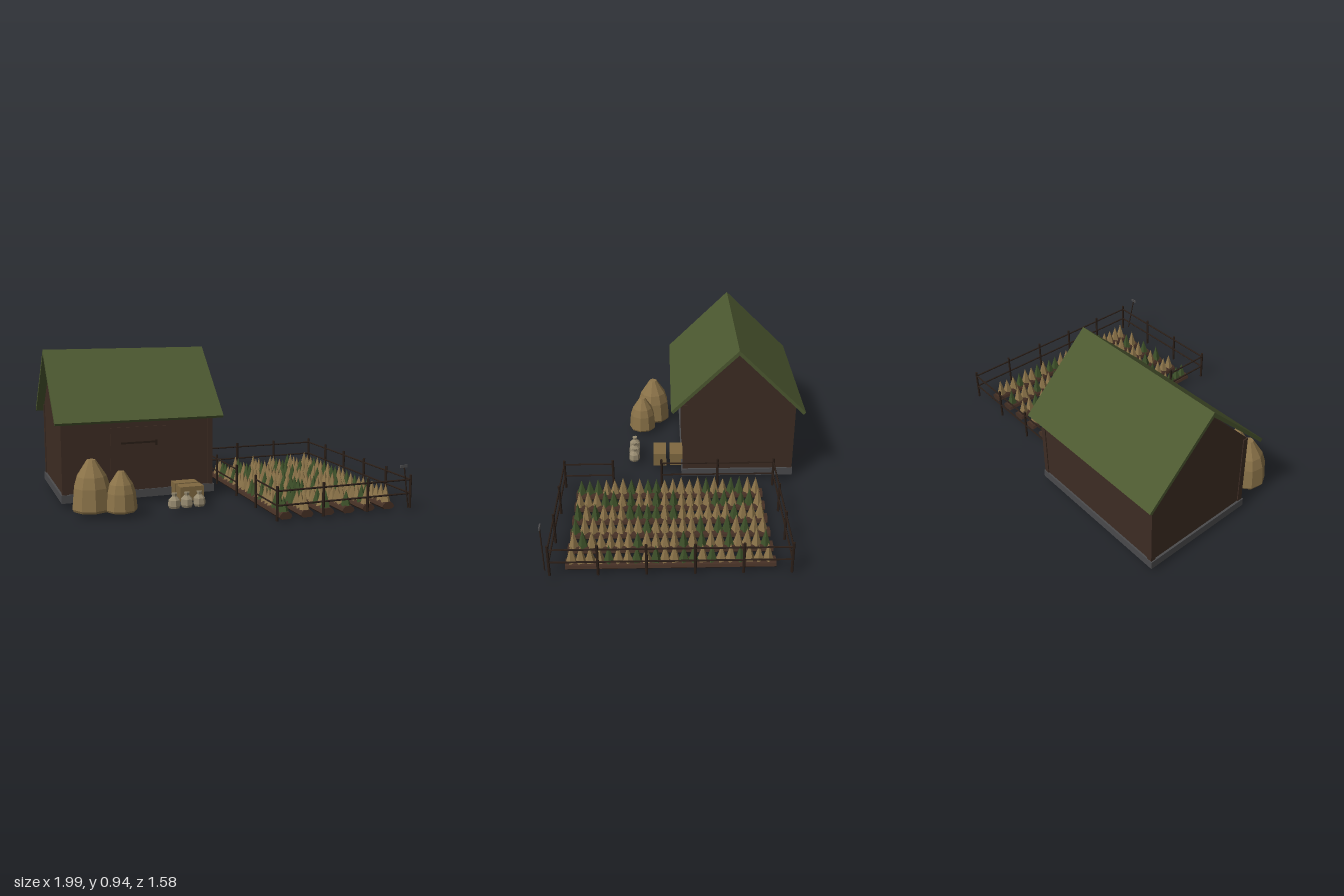
import * as THREE from 'three';

const mat = (name, color) => new THREE.MeshStandardMaterial({ name, color, flatShading: true });

export function createModel() {
  const M = {
    roof: mat('mossGreenRoof', 0x4c5830),
    wall: mat('darkTimber', 0x3d2c23),
    stone: mat('greyStone', 0x4a4a4c),
    hay: mat('strawTan', 0x8b7349),
    fence: mat('fenceWood', 0x2a1e17),
    soil: mat('soilBrown', 0x442f24),
    leaf: mat('cropGreen', 0x3d5029),
    sack: mat('sackCloth', 0x968a70),
    crate: mat('crateWood', 0x7f6840),
  };
  const model = new THREE.Group();
  model.name = 'farmstead';
  const group = (name) => {
    const g = new THREE.Group();
    g.name = name;
    model.add(g);
    return g;
  };
  const add = (parent, name, geo, material, x = 0, y = 0, z = 0) => {
    const m = new THREE.Mesh(geo, material);
    m.name = name;
    m.position.set(x, y, z);
    parent.add(m);
    return m;
  };
  // box given by its limits on each axis
  const box = (parent, name, material, x0, x1, y0, y1, z0, z1) =>
    add(parent, name, new THREE.BoxGeometry(x1 - x0, y1 - y0, z1 - z0), material,
      (x0 + x1) / 2, (y0 + y1) / 2, (z0 + z1) / 2);
  // [z, y] outline drawn out along x
  const prismX = (parent, name, material, points, x0, x1) => {
    const shape = new THREE.Shape(points.map(([z, y]) => new THREE.Vector2(z, y)));
    const geo = new THREE.ExtrudeGeometry(shape, { depth: x1 - x0, bevelEnabled: false });
    geo.rotateY(-Math.PI / 2);
    return add(parent, name, geo, material, x1);
  };
  // straight bar between two points
  const bar = (parent, name, material, a, b, radius) => {
    const A = new THREE.Vector3(...a), B = new THREE.Vector3(...b);
    const d = B.clone().sub(A);
    const m = add(parent, name, new THREE.CylinderGeometry(radius, radius, d.length(), 6), material);
    m.position.copy(A).add(B).multiplyScalar(0.5);
    m.quaternion.setFromUnitVectors(new THREE.Vector3(0, 1, 0), d.normalize());
    return m;
  };

  // Barn: plinth, walls with gables, corner posts
  const barn = group('barn');
  box(barn, 'foundation', M.stone, -0.963, 0.015, 0.03, 0.08, -0.735, -0.005);
  prismX(barn, 'walls', M.wall,
    [[-0.02, 0.08], [-0.02, 0.555], [-0.36, 0.908], [-0.725, 0.555], [-0.725, 0.08]], -0.95, 0.003);
  for (const x of [-0.94, -0.008])
    for (const z of [-0.028, -0.715])
      box(barn, 'cornerPost', M.wall, x - 0.016, x + 0.016, 0.08, 0.55, z - 0.016, z + 0.016);

  // Door with its latch bar
  box(barn, 'door', M.wall, -0.655, -0.29, 0.08, 0.475, -0.025, -0.013);
  box(barn, 'doorBar', M.fence, -0.59, -0.36, 0.372, 0.384, -0.014, -0.004);
  box(barn, 'doorHandle', M.fence, -0.372, -0.36, 0.355, 0.39, -0.014, -0.003);

  // Two roof slabs meeting at the ridge
  prismX(barn, 'roofFront', M.roof,
    [[0.062, 0.53], [-0.355, 0.94], [-0.37, 0.925], [-0.355, 0.91], [0.048, 0.515]], -1, 0.055);
  prismX(barn, 'roofBack', M.roof,
    [[-0.355, 0.94], [-0.787, 0.515], [-0.773, 0.5], [-0.355, 0.911]], -1, 0.055);

  // Haystacks: the small one is the big one scaled
  const hay = group('haystacks');
  const hayProfile = [[0, 0], [0.112, 0], [0.12, 0.015], [0.108, 0.14], [0.088, 0.205], [0.026, 0.3], [0, 0.3]];
  for (const [x, z, s] of [[-0.815, 0.185, 1], [-0.657, 0.262, 0.785]]) {
    const geo = new THREE.LatheGeometry(hayProfile.map(([r, y]) => new THREE.Vector2(r, y)), 9);
    add(hay, 'haystack', geo, M.hay, x, 0.03, z).scale.setScalar(s);
  }

  // Grain sacks gathered at the top
  const sacks = group('sacks');
  const sackProfile = [[0, 0], [0.031, 0], [0.038, 0.015], [0.035, 0.05], [0.014, 0.072], [0.017, 0.09], [0, 0.09]];
  for (let i = 0; i < 3; i++) {
    const geo = new THREE.LatheGeometry(sackProfile.map(([r, y]) => new THREE.Vector2(r, y)), 7);
    add(sacks, 'sack', geo, M.sack, -0.349 + i * 0.078, 0.03, 0.31).rotation.y = i * 0.7;
  }

  // Crates
  const crates = group('crates');
  for (const z of [0.137, 0.027])
    box(crates, 'crate', M.crate, -0.27, -0.117, 0.03, 0.118, z - 0.043, z + 0.043);

  // Garden beds, each with a row of green and dry crops
  const garden = group('garden');
  let seed = 11;
  const random = () => (seed = (seed * 16807) % 2147483647) / 2147483647;
  const frontRowGreen = [true, false, true, true, false, false];
  const bedShape = new THREE.Shape([[-0.026, 0], [0.026, 0], [0.041, 0.014], [0.034, 0.03], [0.02, 0.042],
    [-0.02, 0.042], [-0.034, 0.03], [-0.041, 0.014]].map(([x, y]) => new THREE.Vector2(x, y)));
  const bedGeo = new THREE.ExtrudeGeometry(bedShape, { depth: 1.18, bevelEnabled: false });
  for (let row = 0; row < 6; row++) {
    const x = 0.212 + row * 0.1358;
    add(garden, 'soilBed', bedGeo, M.soil, x, 0, -0.515);
    for (let i = 0; i < 22; i++) {
      const green = i === 0 ? frontRowGreen[row] : random() < 0.42;
      const h = 0.095 + random() * 0.02;
      const plant = add(garden, green ? 'greenCrop' : 'dryCrop', new THREE.ConeGeometry(0.032, h, 5),
        green ? M.leaf : M.hay, x, 0.036 + h / 2, 0.63 - i * 0.0524);
      plant.rotation.y = random() * Math.PI;
    }
  }

  // Fence posts and two rails, with a gateway on the left-hand run
  const fence = group('fence');
  const X0 = 0.12, X1 = 0.988, Z0 = -0.592, Z1 = 0.743;
  const run = (ax, az, bx, bz, spans) => {
    for (let i = 0; i <= spans; i++) {
      const t = i / spans;
      add(fence, 'fencePost', new THREE.CylinderGeometry(0.008, 0.008, 0.2, 6), M.fence,
        ax + (bx - ax) * t, 0.12, az + (bz - az) * t);
    }
    for (const y of [0.108, 0.192])
      bar(fence, 'fenceRail', M.fence, [ax, y, az], [bx, y, bz], 0.0055);
  };
  run(X0, Z0, X1, Z0, 3);
  run(X0, Z1, X1, Z1, 3);
  run(X1, Z0, X1, Z1, 5);
  run(X0, Z0, X0, 0.125, 2);
  run(X0, 0.435, X0, Z1, 1);

  // Hoe leaning outside the fence
  const hoe = group('hoe');
  bar(hoe, 'hoeHandle', M.fence, [0.957, 0.03, 0.773], [0.91, 0.29, 0.787], 0.004);
  box(hoe, 'hoeBlade', M.stone, 0.885, 0.93, 0.278, 0.294, 0.783, 0.791);

  return model;
}
